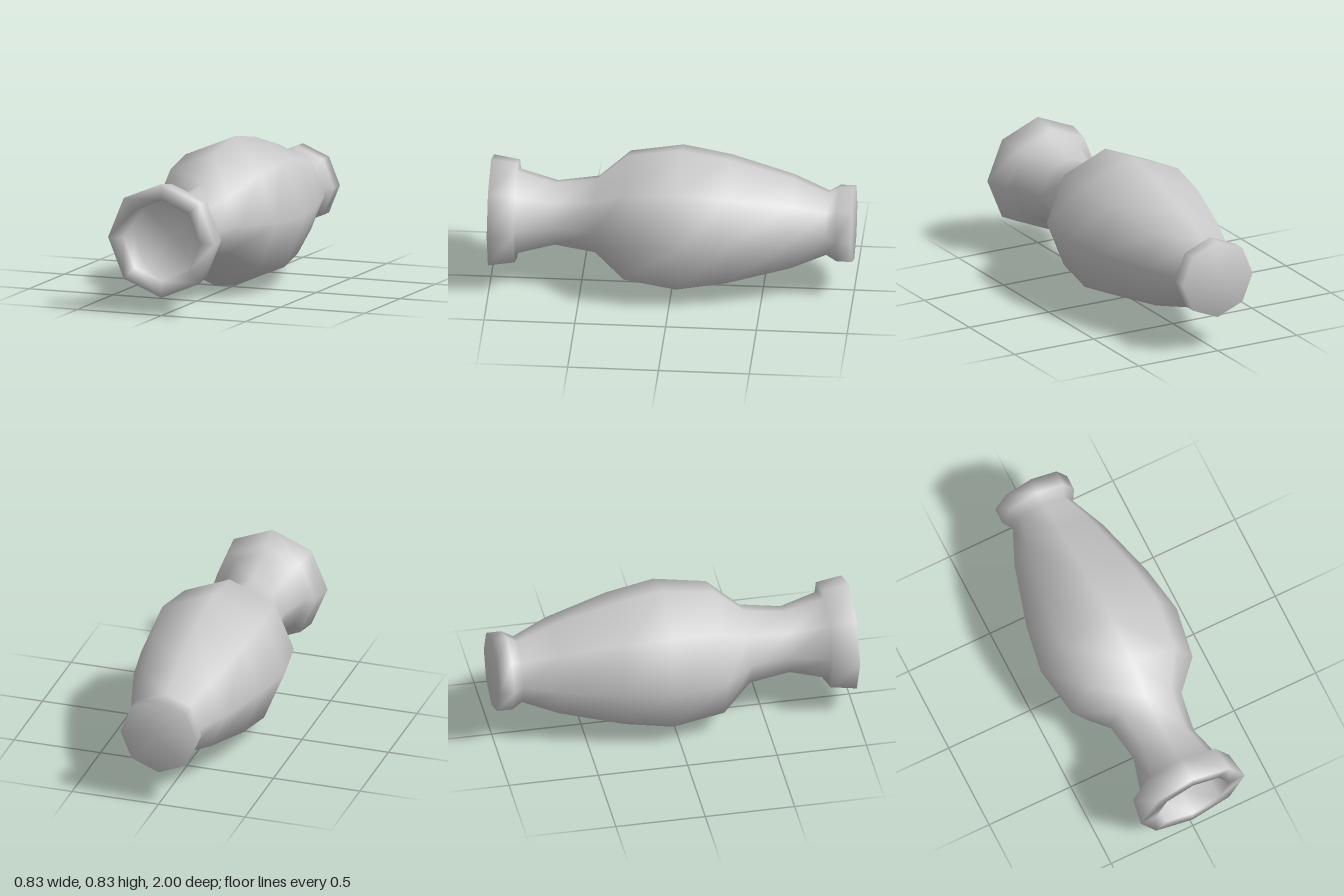
import * as THREE from 'three';

// Outline of the vase along its axis: [radius, position], from foot to mouth
const PROFILE = [
  [0, -1], [0.22, -1], [0.22, -0.915],                  // foot
  [0.185, -0.855],                                      // ankle
  [0.27, -0.66], [0.37, -0.31], [0.416, -0.04],         // belly
  [0.37, 0.25], [0.22, 0.415],                          // shoulder
  [0.185, 0.64], [0.245, 0.855],                        // neck
  [0.295, 0.855], [0.318, 1],                           // collar
  [0.225, 1], [0.225, 0.855], [0, 0.855],               // lip and recessed mouth
];
const SIDES = 8;

export function createModel() {
  const group = new THREE.Group();
  group.name = 'lyingVase';

  const points = PROFILE.map(([r, y]) => new THREE.Vector2(r, y));
  const geometry = new THREE.LatheGeometry(points, SIDES);
  geometry.rotateX(Math.PI / 2); // lay it down, mouth towards +z

  const vase = new THREE.Mesh(geometry, new THREE.MeshStandardMaterial({ color: 0xcccccc }));
  vase.name = 'vaseBody';
  vase.position.y = 0.416;
  group.add(vase);
  return group;
}
